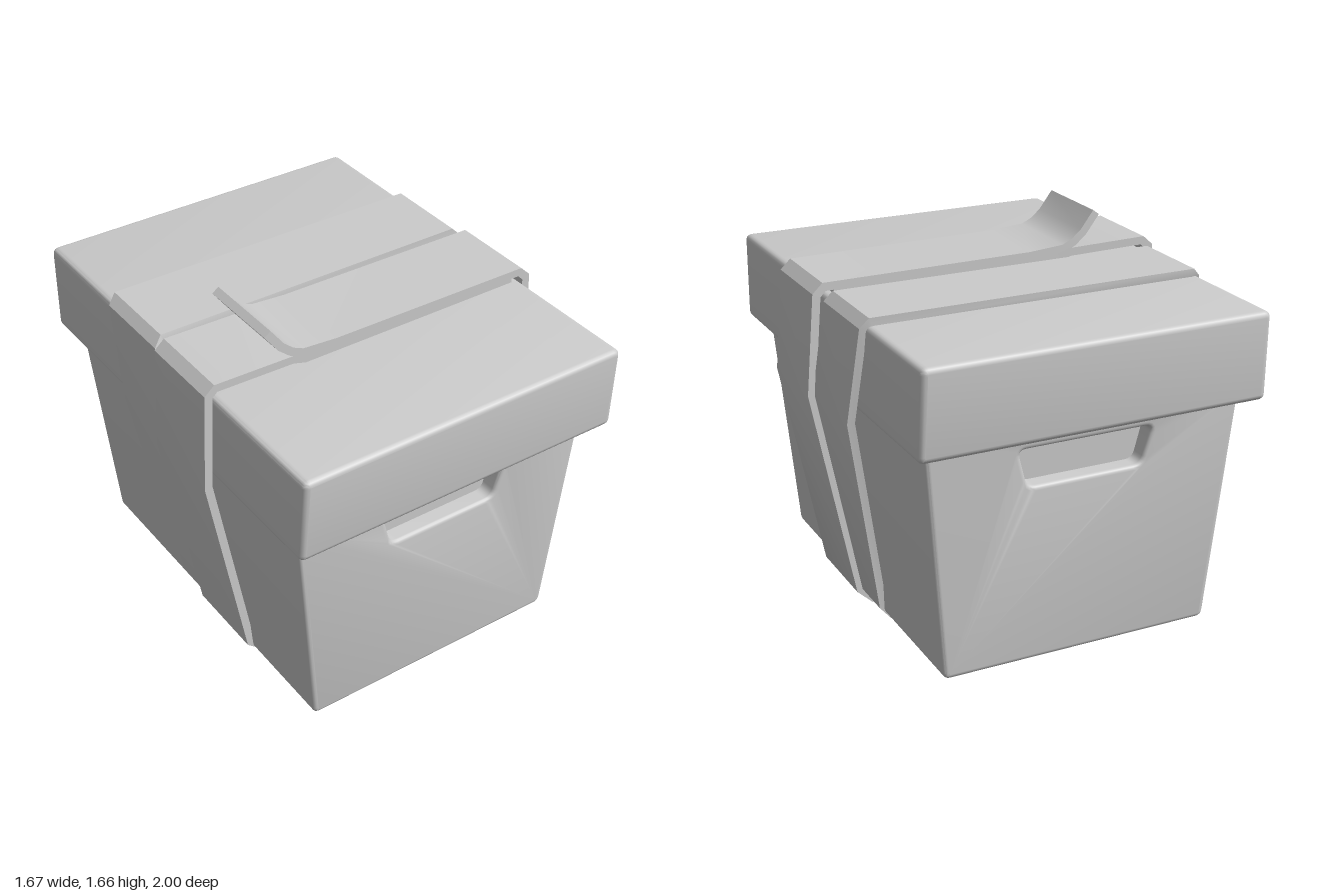
import * as THREE from 'three';
import { toCreasedNormals } from 'three/addons/utils/BufferGeometryUtils.js';

const grey = new THREE.MeshStandardMaterial({ color: 0xcccccc });

function addMesh(group, name, geometry) {
  const mesh = new THREE.Mesh(toCreasedNormals(geometry, 0.65), grey);
  mesh.name = name;
  group.add(mesh);
  return mesh;
}

// Polygon outline with rounded corners, traced into a Shape or Path
function rounded(target, pts, r) {
  const v = pts.map(([x, y]) => new THREE.Vector2(x, y));
  v.forEach((p, i) => {
    const prev = v[(i + v.length - 1) % v.length], next = v[(i + 1) % v.length];
    const a = p.clone().add(prev.clone().sub(p).setLength(r));
    const b = p.clone().add(next.clone().sub(p).setLength(r));
    if (i === 0) target.moveTo(a.x, a.y); else target.lineTo(a.x, a.y);
    target.quadraticCurveTo(p.x, p.y, b.x, b.y);
  });
  target.closePath();
  return target;
}

// Bevelled block along z whose half depth runs from z0 at y0 to z1 at y1
function taperedBlock(shape, y0, y1, z0, z1, bevel) {
  const geo = new THREE.ExtrudeGeometry(shape, {
    depth: 2 - 2 * bevel, bevelThickness: bevel, bevelSize: bevel,
    bevelOffset: -bevel, bevelSegments: 4, curveSegments: 5,
  });
  geo.translate(0, 0, bevel - 1);
  const p = geo.attributes.position;
  for (let i = 0; i < p.count; i++) {
    const t = (p.getY(i) - y0) / (y1 - y0);
    p.setZ(i, p.getZ(i) * (z0 + (z1 - z0) * t));
  }
  return geo;
}

// Flat band following outer points [x, y, zCentre], clockwise seen from the front
function ribbon(path, width, thickness, closed) {
  const n = path.length, pos = [], idx = [];
  const normal = (a, b) => new THREE.Vector2(a[1] - b[1], b[0] - a[0]).normalize();
  path.forEach((p, i) => {
    const prev = closed || i > 0 ? path[(i + n - 1) % n] : null;
    const next = closed || i < n - 1 ? path[(i + 1) % n] : null;
    const n1 = normal(prev || p, prev ? p : next);
    const n2 = next ? normal(p, next) : n1;
    const m = n1.clone().add(n2).normalize();
    m.multiplyScalar(thickness / m.dot(n1));
    const [x, y, z] = p, h = width / 2;
    pos.push(x, y, z + h, x, y, z - h);
    pos.push(x - m.x, y - m.y, z - h, x - m.x, y - m.y, z + h);
  });
  for (let i = 0; i < (closed ? n : n - 1); i++) {
    const j = (i + 1) % n;
    for (let k = 0; k < 4; k++) {
      const l = (k + 1) % 4;
      idx.push(i * 4 + k, j * 4 + k, j * 4 + l, i * 4 + k, j * 4 + l, i * 4 + l);
    }
  }
  if (!closed) {
    const e = (n - 1) * 4;
    idx.push(0, 1, 2, 0, 2, 3, e, e + 2, e + 1, e, e + 3, e + 2);
  }
  const geo = new THREE.BufferGeometry();
  geo.setAttribute('position', new THREE.Float32BufferAttribute(pos, 3));
  geo.setIndex(idx);
  return geo;
}

export function createModel() {
  const group = new THREE.Group();

  // Tapered body, with the grip opening cut through both ends
  const bodyShape = rounded(new THREE.Shape(),
    [[-0.635, 0.045], [0.59, 0.045], [0.685, 1.12], [-0.735, 1.12]], 0.03);
  bodyShape.holes.push(rounded(new THREE.Path(),
    [[-0.325, 1.005], [0.28, 1.005], [0.235, 0.84], [-0.28, 0.84]], 0.035));
  addMesh(group, 'body', taperedBlock(bodyShape, 0.045, 1.08, 0.835, 0.875, 0.02));

  // Block inside that closes the openings into shallow grips
  const core = new THREE.BoxGeometry(0.9, 0.4, 1.58);
  core.translate(-0.02, 0.92, 0);
  addMesh(group, 'gripRecessBack', core);

  // Overhanging lid
  const lidShape = rounded(new THREE.Shape(),
    [[-0.79, 1.073], [0.75, 1.073], [0.742, 1.46], [-0.78, 1.46]], 0.03);
  addMesh(group, 'lid', taperedBlock(lidShape, 1.073, 1.46, 0.98, 1.0, 0.025));

  // Outer strap: from the curled free end once around, tucked under itself
  const outer = [
    [-0.51, 1.67], [-0.45, 1.59], [-0.406, 1.553], [-0.36, 1.532], [-0.2, 1.52],
    [0.75, 1.513], [0.795, 1.47], [0.832, 1.03], [0.64, 0.07], [0.57, 0.005],
    [-0.595, 0.02], [-0.665, 0.08], [-0.836, 1.03], [-0.815, 1.48], [-0.77, 1.52],
    [-0.4, 1.513], [-0.34, 1.495], [0.7, 1.488],
  ].map(([x, y]) => [x, y, 0.168]);
  addMesh(group, 'outerStrap', ribbon(outer, 0.384, 0.036, false));

  // Inner strap: slants down both sides and crosses beneath the outer one
  const inner = [
    [-0.75, 1.495, -0.28], [0.73, 1.495, -0.28], [0.77, 1.455, -0.275],
    [0.802, 1.03, -0.195], [0.615, 0.08, -0.03], [0.56, 0.014, -0.02],
    [-0.585, 0.028, -0.02], [-0.645, 0.085, -0.025], [-0.798, 1.03, -0.17],
    [-0.79, 1.455, -0.26],
  ];
  addMesh(group, 'innerStrap', ribbon(inner, 0.384, 0.034, true));

  return group;
}
